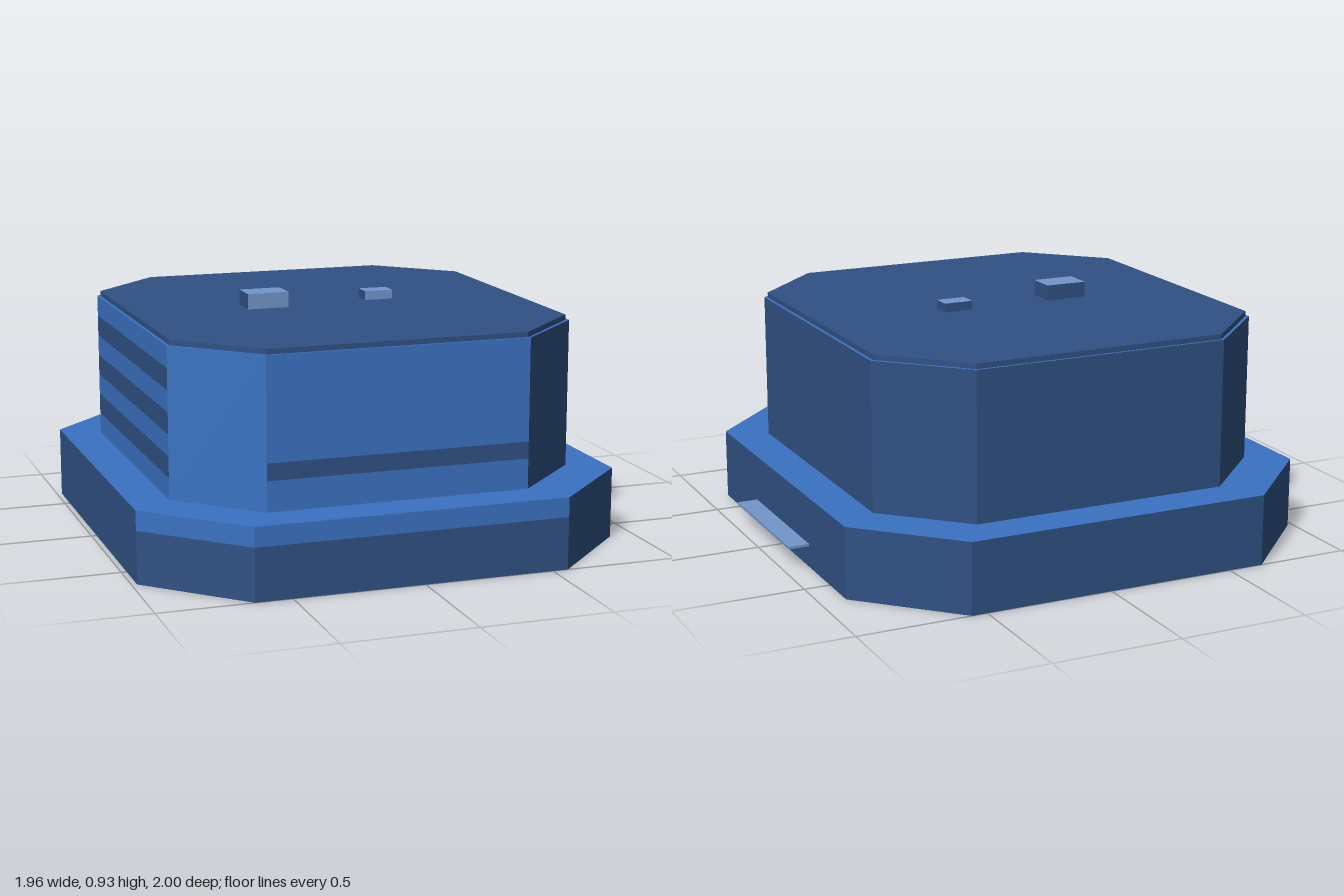
import * as THREE from 'three';

const mat = (name, color) => {
  const m = new THREE.MeshStandardMaterial({ color, side: THREE.DoubleSide });
  m.name = name;
  return m;
};

// Corners of a rectangle with cut corners, as [x, z], starting at the front edge
const octagon = (hx, fx, hz, fz) => [
  [-fx, hz], [fx, hz], [hx, fz], [hx, -fz], [fx, -hz], [-fx, -hz], [-hx, -fz], [-hx, fz],
];
const SIDES = ['front', 'frontLeft', 'left', 'backLeft', 'back', 'backRight', 'right', 'frontRight'];

export function createModel() {
  const blue = mat('facadeBlue', 0x3a72c2);
  const navy = mat('navy', 0x305184);
  const pale = mat('paleBlue', 0x7296c9);

  const model = new THREE.Group();
  model.name = 'building';
  const tower = new THREE.Group(); // the storeys share one centre line
  tower.name = 'storeys';
  tower.position.x = -0.04;
  model.add(tower);

  // Flat horizontal cap
  const cap = (name, pts, y, material) => {
    const shape = new THREE.Shape(pts.map(([x, z]) => new THREE.Vector2(x, -z)));
    const mesh = new THREE.Mesh(new THREE.ShapeGeometry(shape).rotateX(-Math.PI / 2), material);
    mesh.name = name;
    mesh.position.y = y;
    tower.add(mesh);
  };

  // Ring of wall panels; bands[side] lists [bottom, top, material]
  const walls = (name, pts, y0, y1, bands = {}) => {
    const group = new THREE.Group();
    group.name = name;
    pts.forEach(([ax, az], i) => {
      const [bx, bz] = pts[(i + 1) % pts.length];
      const dx = bx - ax, dz = bz - az;
      for (const [b, t, material] of bands[SIDES[i]] ?? [[y0, y1, navy]]) {
        const panel = new THREE.Mesh(new THREE.PlaneGeometry(Math.hypot(dx, dz), t - b), material);
        panel.name = SIDES[i] + 'Wall';
        panel.position.set((ax + bx) / 2, (b + t) / 2, (az + bz) / 2);
        panel.rotation.y = Math.atan2(-dz, dx);
        group.add(panel);
      }
    });
    tower.add(group);
  };

  // Wide ground storey, open underneath
  const base = octagon(0.94, 0.6, 1, 0.66);
  const fascia = [[0, 0.2, navy], [0.2, 0.275, blue]];
  walls('groundStorey', base, 0, 0.275, { front: fascia, frontRight: fascia });
  cap('terrace', base, 0.275, blue);

  // Upper storeys, with a window band in front and three on the right side
  const body = octagon(0.79, 0.505, 0.84, 0.56);
  const step = 0.57 / 7;
  const stripes = Array.from({ length: 7 }, (_, i) =>
    [0.275 + i * step, 0.275 + (i + 1) * step, i % 2 ? navy : blue]);
  walls('upperStoreys', body, 0.275, 0.845, {
    front: [[0.275, 0.39, blue], [0.39, 0.455, navy], [0.455, 0.845, blue]],
    frontRight: [[0.275, 0.845, blue]],
    right: stripes,
  });
  cap('upperLedge', body, 0.845, blue);

  // Roof slab
  const roof = octagon(0.778, 0.5, 0.83, 0.553);
  walls('roofEdge', roof, 0.845, 0.865);
  cap('roof', roof, 0.865, navy);

  // Boxes given by their limits
  const box = (name, [x0, x1], [y0, y1], [z0, z1], material) => {
    const mesh = new THREE.Mesh(new THREE.BoxGeometry(x1 - x0, y1 - y0, z1 - z0), material);
    mesh.name = name;
    mesh.position.set((x0 + x1) / 2, (y0 + y1) / 2, (z0 + z1) / 2);
    model.add(mesh);
  };
  const unit = [navy, navy, pale, navy, pale, navy]; // pale top and front
  box('largeRoofUnit', [-0.375, -0.21], [0.865, 0.925], [-0.06, 0.055], unit);
  box('smallRoofUnit', [0.125, 0.24], [0.865, 0.9], [-0.075, 0], unit);
  box('canopy', [0.9, 0.98], [0.082, 0.092], [-0.29, 0.29], pale);

  return model;
}
